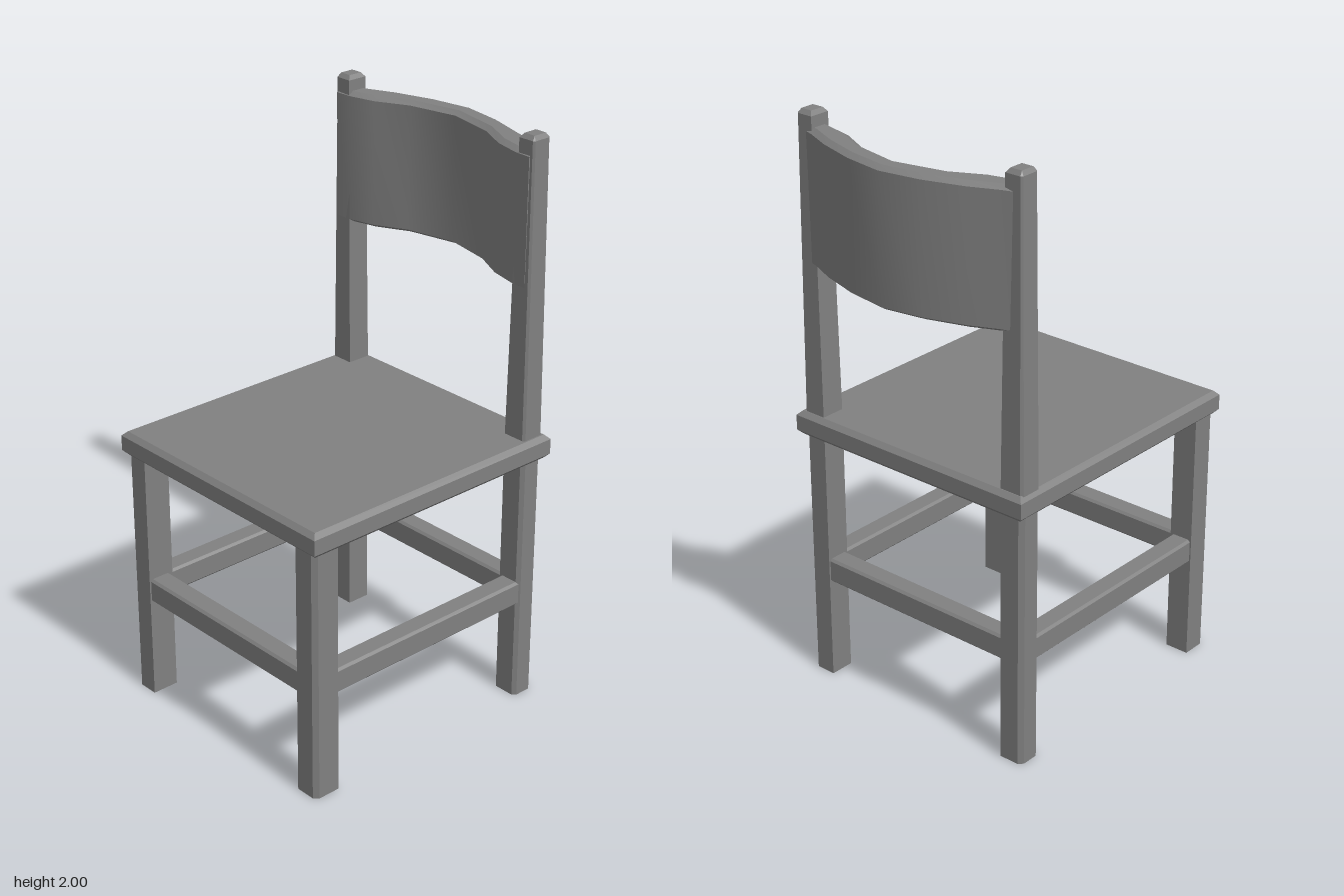
import * as THREE from 'three';
import { toCreasedNormals } from 'three/addons/utils/BufferGeometryUtils.js';

const material = new THREE.MeshStandardMaterial({ color: 0x808080 });

// Plan outline of [x, z] corners, extruded upward from y0 to y1;
// rims are chamfered by bevel (height) and inset (width)
function slab(name, outline, y0, y1, bevel = 0, inset = bevel) {
  const shape = new THREE.Shape(outline.map(([x, z]) => new THREE.Vector2(x, -z)));
  const geometry = new THREE.ExtrudeGeometry(shape, {
    depth: y1 - y0 - 2 * bevel,
    bevelEnabled: bevel > 0,
    bevelThickness: bevel,
    bevelSize: inset,
    bevelOffset: -inset,
    bevelSegments: 1,
  });
  geometry.rotateX(-Math.PI / 2).translate(0, y0 + bevel, 0);
  const mesh = new THREE.Mesh(toCreasedNormals(geometry, 0.5), material);
  mesh.name = name;
  return mesh;
}

// Rectangle in plan
const rect = (x0, x1, z0, z1) => [[x0, z1], [x1, z1], [x1, z0], [x0, z0]];

// Rectangle from an inner to an outer x, its outer corners cut by c0 (at z0) and c1 (at z1)
function legPlan(inner, outer, z0, z1, c0, c1) {
  const s = Math.sign(outer);
  const plan = [[inner, z1], [outer - s * c1, z1]];
  if (c1 > 0) plan.push([outer, z1 - c1]);
  if (c0 > 0) plan.push([outer, z0 + c0]);
  plan.push([outer - s * c0, z0], [inner, z0]);
  return plan;
}

// Narrow a post towards its top
function taper(mesh, cx, cz, y0, y1, sx, sz) {
  const p = mesh.geometry.attributes.position;
  for (let i = 0; i < p.count; i++) {
    const t = (p.getY(i) - y0) / (y1 - y0);
    p.setX(i, cx + (p.getX(i) - cx) * (1 + (sx - 1) * t));
    p.setZ(i, cz + (p.getZ(i) - cz) * (1 + (sz - 1) * t));
  }
  mesh.geometry = toCreasedNormals(mesh.geometry, 0.5);
}

export function createModel() {
  const chair = new THREE.Group();
  chair.name = 'chair';

  chair.add(slab('seat', rect(-0.479, 0.479, -0.465, 0.56), 0.888, 0.973, 0.016));

  // Legs, back posts and side stretchers; the frame sits slightly right of the seat's middle
  for (const [side, s] of [['left', 1], ['right', -1]]) {
    const cx = s * 0.42 - 0.005;
    const inner = cx - s * 0.043, outer = cx + s * 0.043;
    chair.add(slab(side + 'FrontLeg', legPlan(inner, outer, 0.447, 0.543, 0, 0.015), 0, 0.91));
    chair.add(slab(side + 'BackLeg', legPlan(inner, outer, -0.446, -0.36, 0.015, 0.012), 0, 0.91));
    const post = slab(side + 'BackPost', legPlan(inner, outer, -0.446, -0.36, 0.008, 0.008), 0.95, 2, 0.014);
    taper(post, cx, -0.403, 0.95, 2, 0.72, 0.85);
    chair.add(post);
    chair.add(slab(side + 'Stretcher', rect(cx - 0.038, cx + 0.038, -0.38, 0.47), 0.358, 0.445, 0.008));
  }

  // Front and back stretchers
  chair.add(slab('frontStretcher', rect(-0.4, 0.4, 0.458, 0.537), 0.358, 0.445, 0.008));
  chair.add(slab('backStretcher', rect(-0.4, 0.4, -0.44, -0.365), 0.358, 0.445, 0.008));

  // Curved backrest, lapping over the posts: front edge, then rear edge back again
  const front = [[-0.44, -0.362], [-0.38, -0.364], [-0.285, -0.387], [-0.175, -0.442], [0, -0.478],
    [0.175, -0.442], [0.285, -0.387], [0.38, -0.364], [0.44, -0.362]];
  const rear = [[0.44, -0.432], [0.38, -0.452], [0.285, -0.494], [0.145, -0.537], [0, -0.56],
    [-0.145, -0.537], [-0.285, -0.494], [-0.38, -0.452], [-0.44, -0.432]];
  const backrest = slab('backrest', [...front, ...rear], 1.49, 1.948, 0.013, 0.02);
  backrest.position.x = -0.008;
  chair.add(backrest);

  return chair;
}
